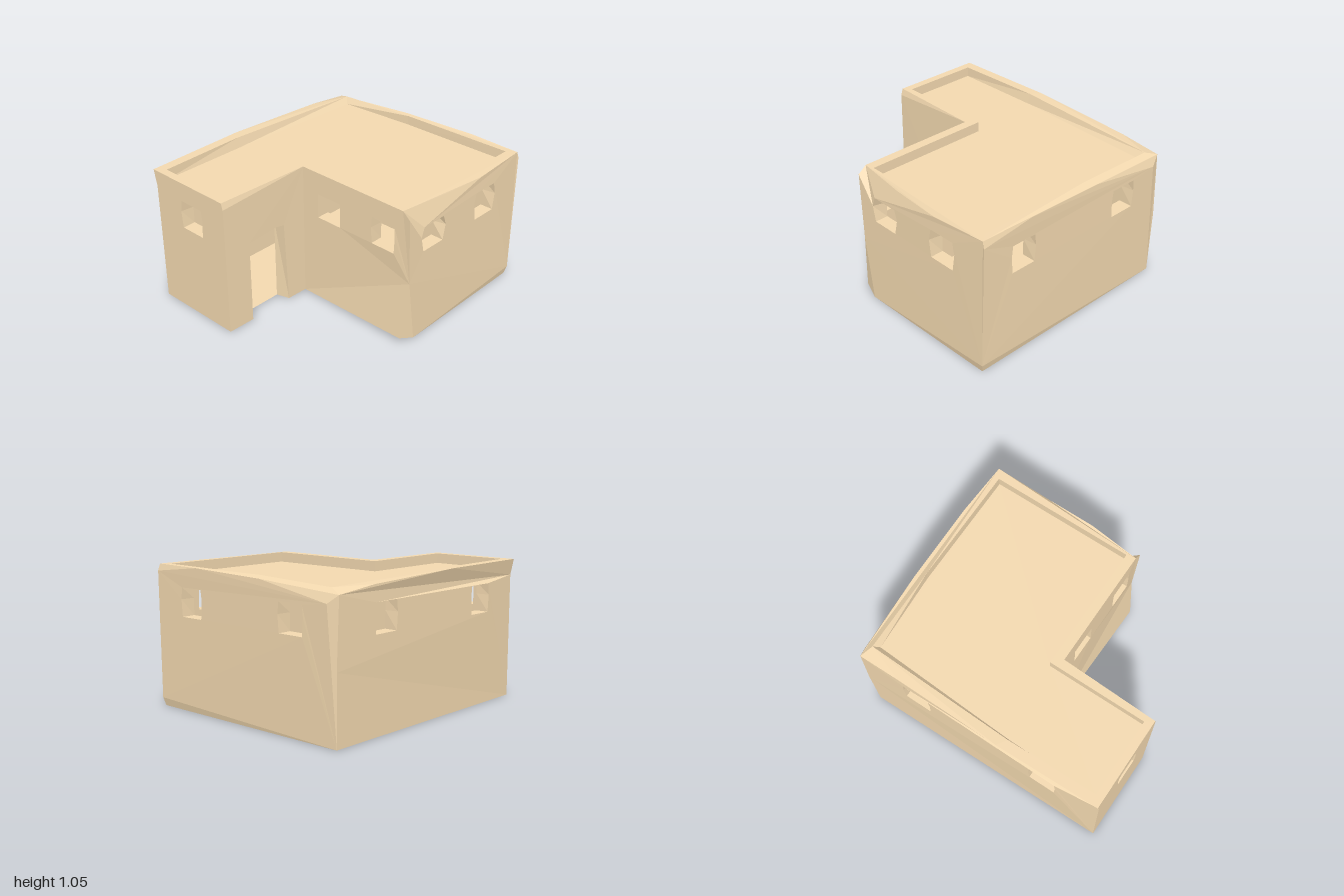
import * as THREE from 'three';

const V = (x, y, z) => new THREE.Vector3(x, y, z);

// Corner edges of the worn outer shell, listed from the ground up
const corners = [
  [V(-0.825, 0, 1), V(-0.828, 0.93, 1), V(-0.855, 1.05, 1)],
  [V(-0.125, 0, 1), V(-0.125, 1, 1), V(-0.14, 1.05, 1)],
  [V(-0.115, 0, 0.25), V(-0.115, 1.05, 0.25)],
  [V(0.87, 0, 0.16), V(0.838, 0.04, 0.278), V(0.872, 0.49, 0.23), V(0.872, 1, 0.252), V(0.81, 1.05, 0.25)],
  [V(0.855, 0, -0.965), V(0.87, 0.06, -0.98), V(0.87, 1, -0.99), V(0.865, 1.05, -0.975)],
  [V(-0.855, 0, -0.97), V(-0.86, 0.5, -0.975), V(-0.862, 0.985, -0.955)],
];

// Walls in plan order. axis: run direction, out/inn: outer and inner plane,
// tops: extra points on the top edge, wins: [left, right, bottom, top, flare],
// fold: corner point where a crease splits the wall
const walls = [
  { axis: 'x', s: 1, out: 1, inn: 0.9, tops: [], wins: [[-0.565, -0.36, 0.69, 0.905, 0.012]] },
  { axis: 'z', s: -1, out: -0.12, inn: -0.22, tops: [], wins: [], door: true },
  { axis: 'x', s: 1, out: 0.25, inn: 0.15, tops: [], fold: 2,
    wins: [[0.03, 0.245, 0.69, 0.88, 0], [0.54, 0.74, 0.69, 0.9, 0.006]] },
  { axis: 'z', s: -1, out: 0.87, inn: 0.77, tops: [V(0.86, 1.04, -0.15), V(0.87, 1.02, -0.53)],
    wins: [[-0.09, 0.12, 0.69, 0.88, 0.025], [0.49, 0.7, 0.69, 0.905, 0.018]] },
  { axis: 'x', s: -1, out: -0.985, inn: -0.88,
    tops: [V(0.45, 1.05, -0.99), V(-0.18, 1.03, -0.985), V(-0.785, 0.925, -0.985)],
    wins: [[-0.61, -0.41, 0.69, 0.9, 0.01], [0.36, 0.57, 0.69, 0.9, 0.01]] },
  { axis: 'z', s: 1, out: -0.86, inn: -0.76, tops: [V(-0.865, 1.02, -0.62), V(-0.875, 1.05, 0.2)],
    wins: [[-0.6, -0.39, 0.69, 0.9, 0.01], [0.46, 0.66, 0.69, 0.9, 0.01]] },
];

// Plan rings as [x, z] with an optional height of their own
const ring = (pts, y) => pts.map(([x, z, h = y]) => V(x, h, z));
const room = [[-0.76, 0.9], [-0.22, 0.9], [-0.22, 0.15], [0.77, 0.15], [0.77, -0.88], [-0.76, -0.88]];
const rimPlan = [[-0.782, 0.94], [-0.185, 0.94], [-0.185, 0.18], [0.795, 0.18], [0.795, -0.927],
  [-0.12, -0.921, 1.045], [-0.765, -0.915, 1.02], [-0.8, 0.25]];
const roofPlan = [[-0.78, 0.94], [-0.185, 0.94], [-0.185, 0.18], [0.795, 0.18], [0.795, -0.925],
  [-0.12, -0.918], [-0.73, -0.88], [-0.78, 0.25]];

// Door outline, right foot over the head to left foot
const doorOuter = [[-0.42, 0], [-0.45, 0.65], [-0.54, 0.668], [-0.785, 0.65], [-0.785, 0]];
const doorInner = [[-0.45, 0], [-0.45, 0.65], [-0.54, 0.65], [-0.77, 0.65], [-0.77, 0]];

// Fill a 3D outline with holes, triangulated in the projection given by to2D
function sheet(out, outline, holes, to2D, flip = false) {
  const all = [outline, ...holes].flat();
  const flat = all.map(to2D);
  const faces = THREE.ShapeUtils.triangulateShape(outline.map(to2D), holes.map((h) => h.map(to2D)));
  for (const [a, b, c] of faces) {
    const p = flat[a], q = flat[b], r = flat[c];
    const ccw = (q.x - p.x) * (r.y - p.y) - (q.y - p.y) * (r.x - p.x) > 0;
    if (ccw !== flip) out.push(all[a], all[b], all[c]);
    else out.push(all[a], all[c], all[b]);
  }
}

// Join two rows of points with quads
function strip(out, a, b, closed) {
  const n = a.length;
  for (let i = 0; i < (closed ? n : n - 1); i++) {
    const j = (i + 1) % n;
    out.push(a[i], a[j], b[j], a[i], b[j], b[i]);
  }
}

function windowLoop([l, r, y0, y1, f]) {
  const m = (y0 + y1) / 2 + 0.02;
  return [[l, y0], [r, y0], [r + f, m], [r, y1], [l, y1], [l - f, m]];
}

export function createModel() {
  const house = new THREE.Group();
  house.name = 'adobeHouse';
  const material = new THREE.MeshStandardMaterial({ color: 0xf2d8af, flatShading: true, side: THREE.DoubleSide });
  const add = (name, points) => {
    const geometry = new THREE.BufferGeometry().setFromPoints(points);
    geometry.computeVertexNormals();
    const mesh = new THREE.Mesh(geometry, material);
    mesh.name = name;
    house.add(mesh);
  };
  const plan = (p) => new THREE.Vector2(p.x, -p.z);
  const outer = [], inner = [], windows = [], doorway = [];
  const topEdge = [], baseEdge = [];

  walls.forEach((w, i) => {
    const a = corners[i], b = corners[(i + 1) % 6];
    const to2D = (p) => new THREE.Vector2(w.s * p[w.axis], p.y);
    const at = (plane) => ([u, y]) => (w.axis === 'x' ? V(w.s * u, y, plane) : V(plane, y, w.s * u));

    // Window openings with slightly worn outer edges
    const outHoles = w.wins.map((k) => windowLoop(k).map(at(w.out)));
    const inHoles = w.wins.map((k) => windowLoop([...k.slice(0, 4), 0]).map(at(w.inn)));
    outHoles.forEach((h, k) => strip(windows, h, inHoles[k], true));

    // Door cut up from the ground
    let outDoor = [], inDoor = [];
    if (w.door) {
      outDoor = doorOuter.map(at(w.out));
      inDoor = doorInner.map(at(w.inn));
      strip(doorway, outDoor, inDoor, false);
      outDoor.reverse();
      inDoor.reverse();
    }

    // Outer wall face, with the part below a crease filled on its own
    const fold = w.fold ?? 0;
    if (fold) sheet(outer, [a[0], ...b.slice(0, fold + 1)], [], to2D);
    sheet(outer, [a[0], ...outDoor, ...b.slice(fold), ...[...w.tops].reverse(), ...a.slice(1).reverse()],
      outHoles, to2D);

    // Inner wall face
    const [p, q] = [room[i], room[(i + 1) % 6]];
    sheet(inner, [V(p[0], 0, p[1]), ...inDoor, V(q[0], 0, q[1]), V(q[0], 0.93, q[1]), V(p[0], 0.93, p[1])],
      inHoles, to2D, true);

    topEdge.push(a[a.length - 1], ...w.tops);
    baseEdge.push(a[0]);
    if (w.door) baseEdge.push(outDoor[0], inDoor[0], inDoor[4], outDoor[4]);
  });

  add('outerWalls', outer);
  add('innerWalls', inner);
  add('windowReveals', windows);
  add('doorReveal', doorway);

  // Parapet rim and its inner face
  const parapet = [], rim = ring(rimPlan, 1.05), roofRing = ring(roofPlan, 0.975);
  sheet(parapet, topEdge, [rim], plan);
  strip(parapet, rim, roofRing, true);
  add('parapet', parapet);

  // Flat roof with the ceiling below it
  const roof = [], ceiling = [], floor = [], base = [];
  sheet(roof, roofRing, [], plan);
  sheet(ceiling, ring(room, 0.93), [], plan, true);
  add('roof', roof);
  add('ceiling', ceiling);

  // Floor just above the underside
  sheet(floor, ring(room, 0.002), [], plan);
  sheet(base, baseEdge, [], plan, true);
  add('floor', floor);
  add('base', base);
  return house;
}
